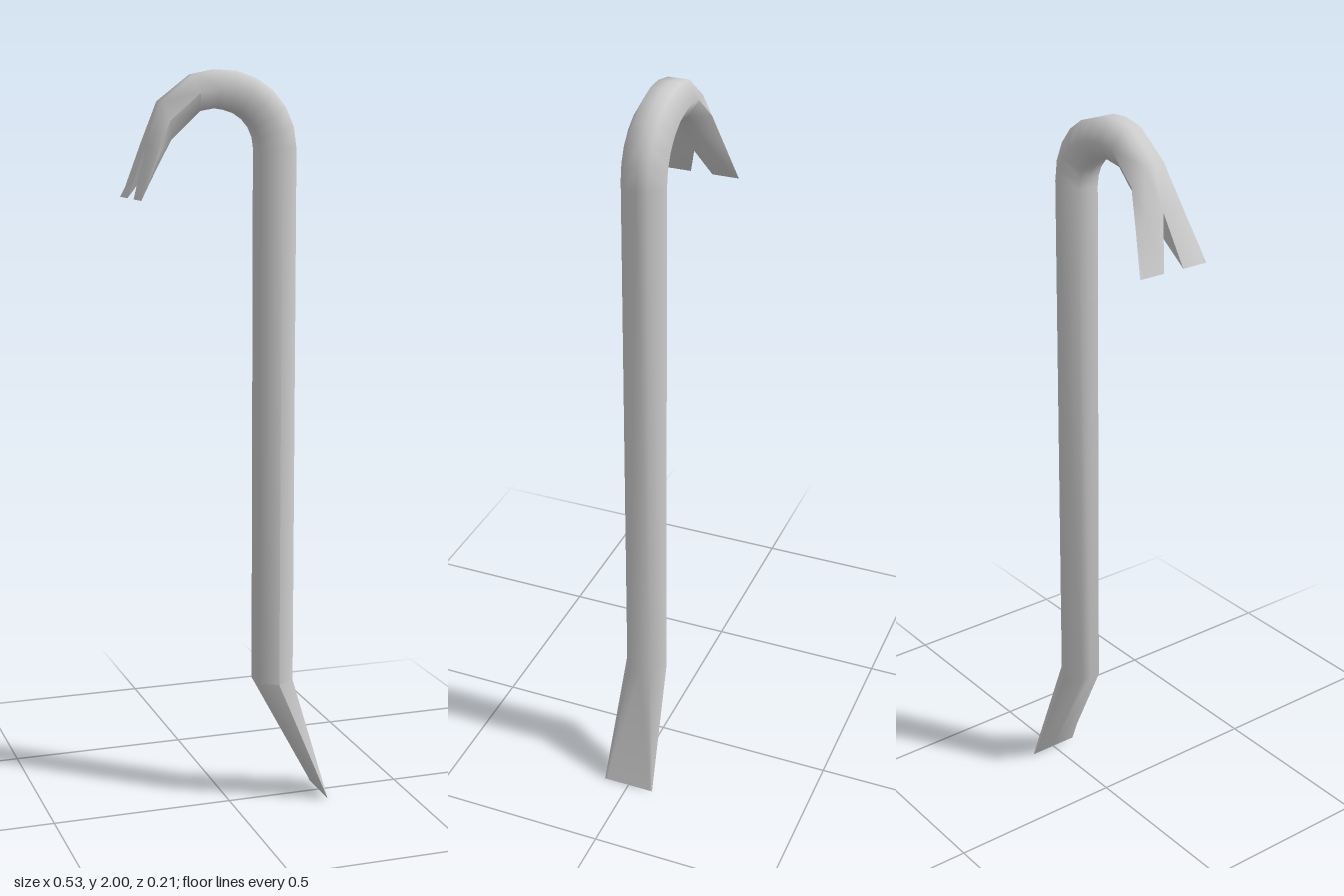
import * as THREE from 'three';
import { toCreasedNormals } from 'three/addons/utils/BufferGeometryUtils.js';

// Cross-section: outer point, inner point (x, y), half width at the middle
// ridge, half width of the flats, and half gap at the centre (claw notch).
const section = (ox, oy, ix, iy, ridge, flat = ridge / 2, gap = 0) =>
  ({ ox, oy, ix, iy, ridge, flat, gap });

// Half of a hexagonal section, from outer centre round to inner centre.
function halfRing(s, side) {
  const mx = (s.ox + s.ix) / 2, my = (s.oy + s.iy) / 2;
  return [
    [s.ox, s.oy, s.gap], [s.ox, s.oy, s.flat], [mx, my, s.ridge],
    [s.ix, s.iy, s.flat], [s.ix, s.iy, s.gap],
  ].map(([x, y, z]) => new THREE.Vector3(x, y, z * side));
}

export function createModel() {
  // Flat chisel tip and the straight shaft
  const shaftBottom = section(0.175, 0.345, 0.075, 0.345, 0.06);
  const shaftTop = section(0.175, 1.8, 0.075, 1.8, 0.06);
  const chisel = [section(0.267, 0, 0.267, 0, 0.073, 0.066), shaftBottom];

  // Hook: circular bend, then a straighter run towards the claw
  const hook = [shaftTop];
  for (let i = 1; i <= 5; i++) {
    const a = THREE.MathUtils.degToRad(16 * i), c = Math.cos(a), s = Math.sin(a);
    hook.push(section(-0.025 + 0.2 * c, 1.8 + 0.2 * s, -0.025 + 0.1 * c, 1.8 + 0.1 * s, 0.06));
  }
  const neck = section(-0.188, 1.92, -0.165, 1.825, 0.06);
  hook.push(
    section(-0.04, 2.0, -0.042, 1.904, 0.058),
    section(-0.1, 1.988, -0.088, 1.896, 0.056),
    neck,
  );

  // Claw: widens, then splits into two prongs at the notch
  const claw = [
    neck,
    section(-0.225, 1.81, -0.211, 1.757, 0.079, 0.057),
    section(-0.267, 1.675, -0.267, 1.675, 0.103, 0.09, 0.03),
  ];

  const parts = { chisel, shaft: [shaftBottom, shaftTop], hook, claw };
  const points = [], ranges = [];
  const tri = new THREE.Triangle();
  const addTriangle = (a, b, c, flip) => {
    if (tri.set(a, b, c).getArea() < 1e-9) return;
    points.push(...(flip ? [a, c, b] : [a, b, c]));
  };

  // Loft each part as two mirrored halves
  for (const [name, rows] of Object.entries(parts)) {
    const start = points.length;
    for (const side of [1, -1]) {
      for (let r = 0; r < rows.length - 1; r++) {
        const low = halfRing(rows[r], side), high = halfRing(rows[r + 1], side);
        const strips = rows[r + 1].gap > 0 ? 5 : 4; // fifth strip is the notch wall
        for (let k = 0; k < strips; k++) {
          const n = (k + 1) % 5;
          addTriangle(low[k], high[k], low[n], side < 0);
          addTriangle(low[n], high[k], high[n], side < 0);
        }
      }
    }
    ranges.push([name, start, points.length]);
  }

  // Shade the bar as one piece so normals run smoothly across the parts
  const whole = toCreasedNormals(new THREE.BufferGeometry().setFromPoints(points), 1.15);
  const material = new THREE.MeshStandardMaterial({ color: 0xcccccc });
  const group = new THREE.Group();
  group.name = 'pryBar';
  for (const [name, start, end] of ranges) {
    const geometry = new THREE.BufferGeometry();
    for (const key of ['position', 'normal']) {
      const data = whole.getAttribute(key).array.slice(start * 3, end * 3);
      geometry.setAttribute(key, new THREE.BufferAttribute(data, 3));
    }
    const mesh = new THREE.Mesh(geometry, material);
    mesh.name = name;
    group.add(mesh);
  }
  return group;
}
